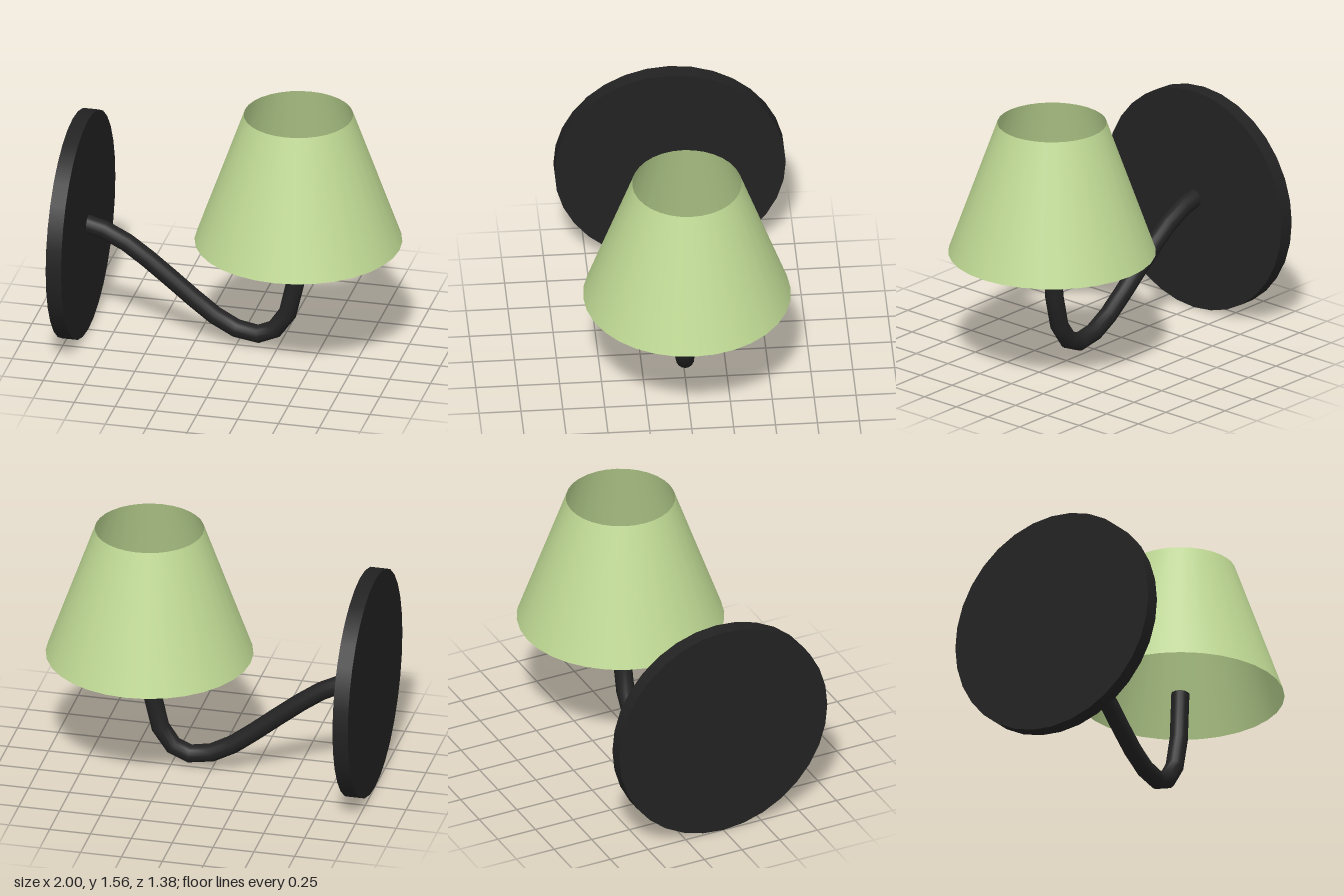
import * as THREE from 'three';

export function createModel() {
  const lamp = new THREE.Group();
  lamp.name = 'wallLamp';
  const black = new THREE.MeshStandardMaterial({ color: 0x222222 });
  const green = new THREE.MeshStandardMaterial({ color: 0xbfd994, side: THREE.DoubleSide });

  const add = (name, geometry, material, x = 0, y = 0) => {
    const mesh = new THREE.Mesh(geometry, material);
    mesh.name = name;
    mesh.position.set(x, y, 0);
    lamp.add(mesh);
    return mesh;
  };

  // Round wall plate, facing along x
  add('wallPlate', new THREE.CylinderGeometry(0.69, 0.69, 0.094, 32).rotateZ(Math.PI / 2), black, -0.953, 0.69);

  // Curved arm, with one ring of the tube at each path point
  const path = [
    [-0.95, 0.7], [-0.91, 0.695], [-0.81, 0.67], [-0.67, 0.6], [-0.54, 0.507], [-0.4, 0.395],
    [-0.26, 0.28], [-0.13, 0.18], [0, 0.11], [0.135, 0.087], [0.235, 0.13],
    [0.315, 0.245], [0.361, 0.445], [0.378, 0.745],
  ].map(([x, y]) => new THREE.Vector3(x, y, 0));
  const curve = new THREE.CatmullRomCurve3(path);
  curve.getPointAt = curve.getPoint;
  curve.getTangentAt = curve.getTangent;
  const armRadius = 0.055;
  add('arm', new THREE.TubeGeometry(curve, path.length - 1, armRadius, 16), black);

  // Cap closing the upper end of the arm
  const end = path[path.length - 1];
  const cap = add('armEndCap', new THREE.CircleGeometry(armRadius, 16), black, end.x, end.y);
  cap.quaternion.setFromUnitVectors(new THREE.Vector3(0, 0, 1), curve.getTangent(1));

  // Thin open conical shade
  add('shade', new THREE.CylinderGeometry(0.326, 0.619, 0.825, 32, 1, true), green, 0.381, 1.1475);

  return lamp;
}
